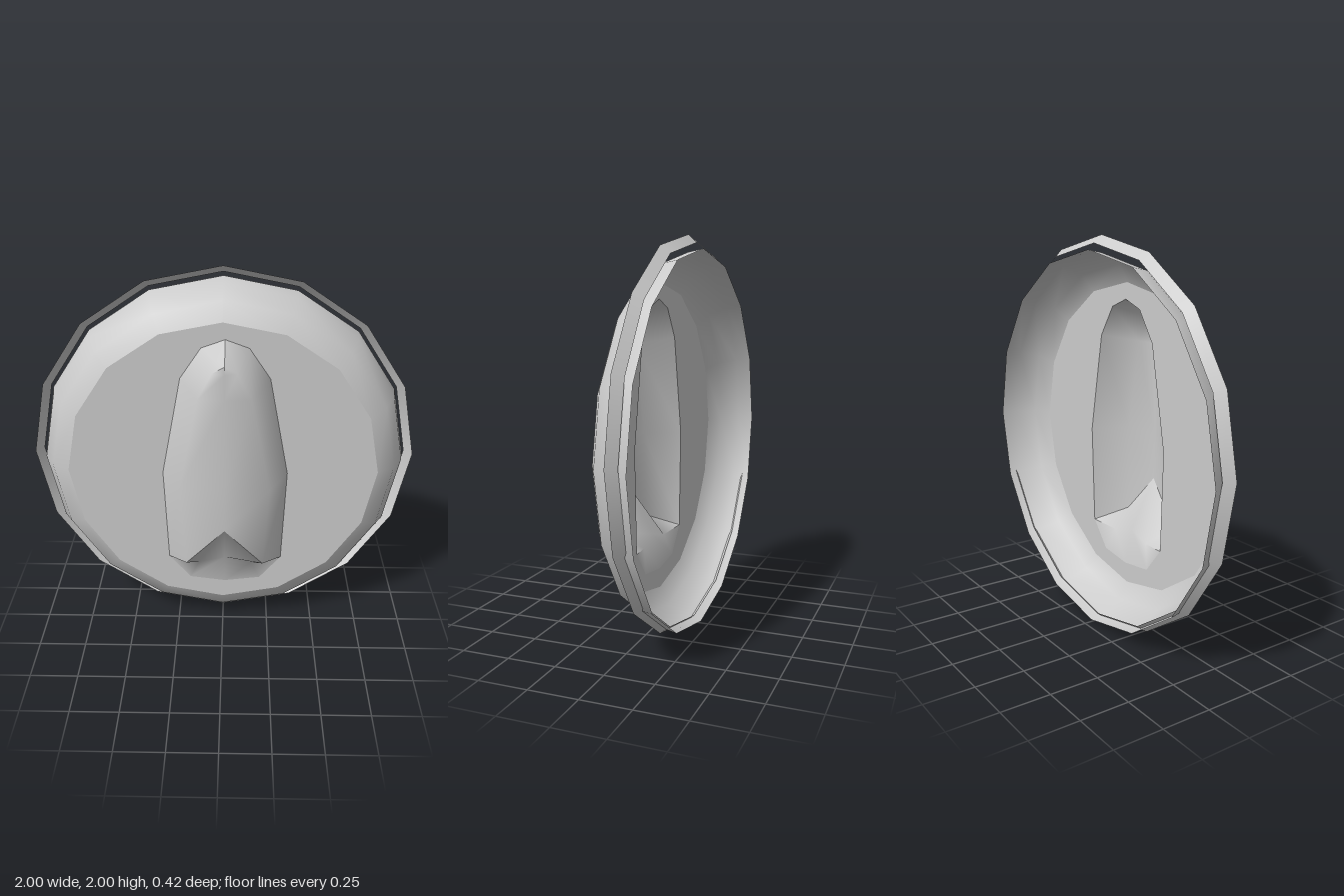
import * as THREE from 'three';

const SIDES = 16;
const FACE_Z = 0.02;
const HOOD_X = 0.012;

const material = new THREE.MeshStandardMaterial({ color: 0xcccccc, side: THREE.DoubleSide });

function part(name, geometry, y = 0) {
  const mesh = new THREE.Mesh(geometry, material);
  mesh.name = name;
  mesh.position.y = y;
  return mesh;
}

// Surface of revolution about the z axis, from [radius, z] pairs
function turned(profile) {
  const points = profile.map(([r, z]) => new THREE.Vector2(r, z));
  return new THREE.LatheGeometry(points, SIDES).rotateX(Math.PI / 2);
}

// Mirror a half section of [halfWidth, y, z] points, ending on the centre line
function mirrored(half) {
  const right = half.map(([w, y, z]) => [HOOD_X + w, y, z]);
  const left = half.slice(0, -1).reverse().map(([w, y, z]) => [HOOD_X - w, y, z]);
  return [...right, ...left];
}

// Smooth skin stretched over cross-sections that run from low to high
function skin(halfSections) {
  const rows = halfSections.map(mirrored);
  const n = rows[0].length;
  const index = [];
  for (let i = 0; i < rows.length - 1; i++) {
    for (let j = 0; j < n - 1; j++) {
      const a = i * n + j, b = a + 1, c = a + n, d = c + 1;
      index.push(a, c, b, b, c, d);
    }
  }
  const geometry = new THREE.BufferGeometry();
  geometry.setAttribute('position', new THREE.Float32BufferAttribute(rows.flat(2), 3));
  geometry.setIndex(index);
  geometry.computeVertexNormals();
  return geometry;
}

export function createModel() {
  const group = new THREE.Group();
  group.name = 'hoodedCover';

  // Rounded wall of the open-backed dish
  const dishY = 0.97;
  group.add(part('dishWall', turned([[0.96, -0.21], [0.945, -0.13], [0.89, -0.03], [0.8, FACE_Z]]), dishY));

  // Loose flared band around the rim
  group.add(part('rimBand', turned([[0.96, -0.175], [1, -0.13]]), 1));

  // Half sections of the hood: base, crest, centre line
  const notch = [[0.303, 0.437, FACE_Z], [0.2, 0.505, 0.18], [0, 0.72, 0.205]];
  const hood = [
    notch,
    [[0.322, 0.96, FACE_Z], [0.225, 0.96, 0.2], [0, 0.96, 0.208]],
    [[0.222, 1.485, FACE_Z], [0.13, 1.45, 0.2], [0, 1.45, 0.208]],
    [[0.117, 1.642, FACE_Z], [0.06, 1.585, 0.205], [0, 1.58, 0.208]],
    [[0, 1.685, FACE_Z], [0, 1.62, 0.207], [0, 1.62, 0.207]],
  ];
  group.add(part('hood', skin(hood)));

  // Scooped mouth beneath the notch
  const lip = [notch[0], [0.19, 0.3, FACE_Z], [0, 0.275, FACE_Z]];
  const scoop = [lip, [notch[0], [0.14, 0.42, 0.05], [0, 0.46, 0.06]], notch];
  group.add(part('scoop', skin(scoop)));

  // Flat front plate, pierced by the outline of the hood and scoop
  const plate = new THREE.Shape();
  const rim = [];
  for (let i = 0; i < SIDES; i++) {
    const a = (i / SIDES) * Math.PI * 2;
    rim.push(new THREE.Vector2(0.8 * Math.cos(a), dishY + 0.8 * Math.sin(a)));
  }
  plate.setFromPoints(rim);
  const halfOutline = [lip[2], lip[1], ...hood.map((section) => section[0])];
  const outline = [
    ...halfOutline.map(([w, y]) => new THREE.Vector2(HOOD_X + w, y)),
    ...halfOutline.slice(1, -1).reverse().map(([w, y]) => new THREE.Vector2(HOOD_X - w, y)),
  ];
  plate.holes.push(new THREE.Path(outline));
  group.add(part('frontPlate', new THREE.ShapeGeometry(plate).translate(0, 0, FACE_Z)));

  return group;
}
